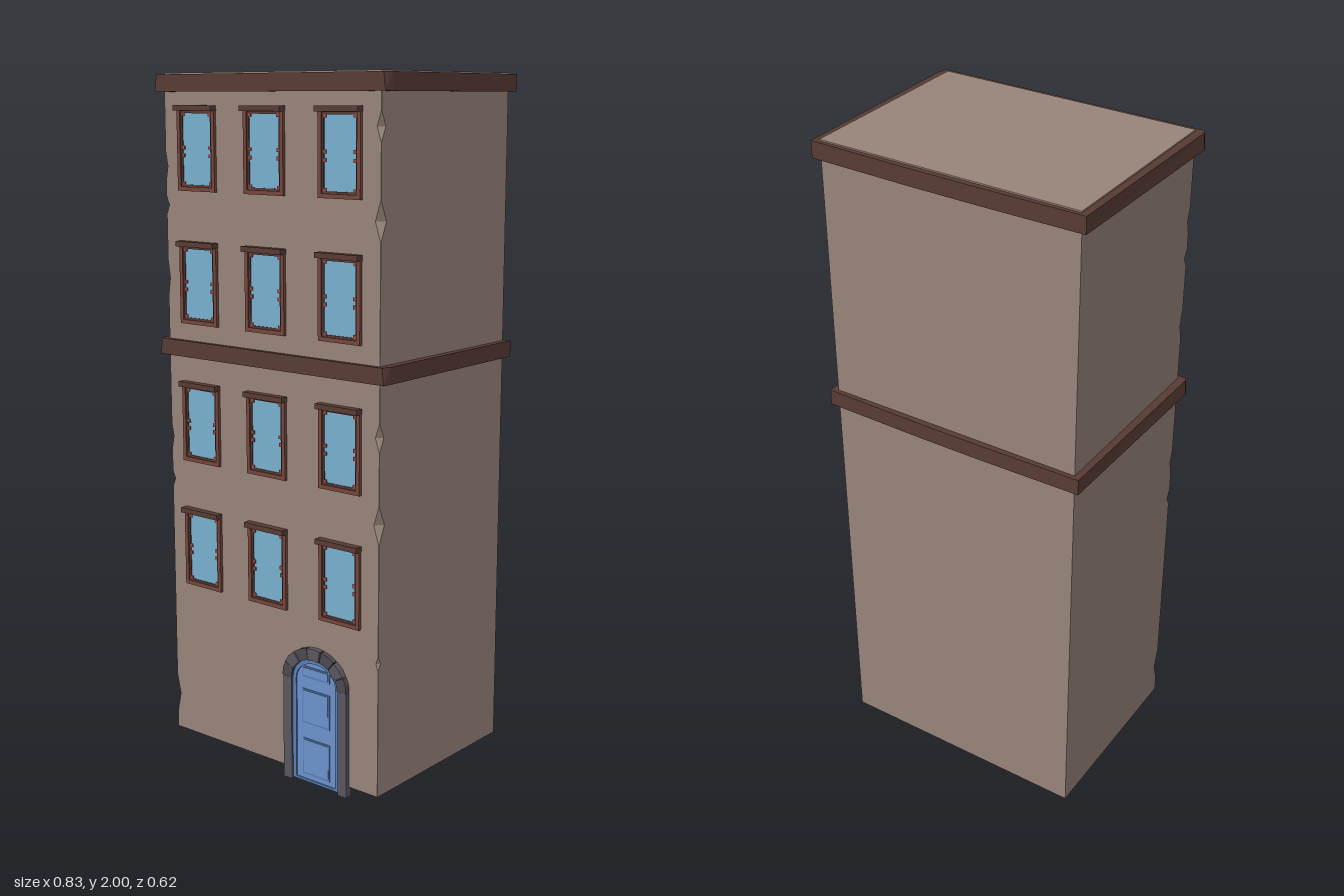
import * as THREE from 'three';

const mat = (name, color) => {
  const m = new THREE.MeshStandardMaterial({ color });
  m.name = name;
  return m;
};

export function createModel() {
  const M = {
    wall: mat('plaster', 0x98847a),
    trim: mat('dark trim', 0x583b34),
    frame: mat('window frame', 0x74463b),
    clasp: mat('clasp red', 0x96483f),
    glass: mat('glass', 0x78b0cf),
    door: mat('door blue', 0x6c93cc),
    doorDark: mat('door shade blue', 0x587eb8),
    stone: mat('stone', 0x5b5660),
    stoneDark: mat('dark stone', 0x4d4851),
  };
  const house = new THREE.Group();
  house.name = 'townhouse';

  const add = (parent, name, geo, material, x = 0, y = 0, z = 0) => {
    const mesh = new THREE.Mesh(geo, material);
    mesh.name = name;
    mesh.position.set(x, y, z);
    parent.add(mesh);
    return mesh;
  };
  // box given by its extents
  const box = (parent, name, material, x0, x1, y0, y1, z0, z1) =>
    add(parent, name, new THREE.BoxGeometry(x1 - x0, y1 - y0, z1 - z0), material,
      (x0 + x1) / 2, (y0 + y1) / 2, (z0 + z1) / 2);
  const extrude = (shape, depth) =>
    new THREE.ExtrudeGeometry(shape, { depth, bevelEnabled: false, curveSegments: 12 });

  // closed solid through horizontal rings of [x, y, z], anticlockwise from above
  const loft = (rings) => {
    const pos = [];
    const n = rings[0].length;
    const tri = (a, b, c) => pos.push(...a, ...b, ...c);
    for (let r = 0; r < rings.length - 1; r++) {
      for (let i = 0; i < n; i++) {
        const j = (i + 1) % n;
        const [lo, hi] = [rings[r], rings[r + 1]];
        tri(lo[i], lo[j], hi[j]);
        tri(lo[i], hi[j], hi[i]);
      }
    }
    const bottom = rings[0], top = rings[rings.length - 1];
    for (let i = 1; i < n - 1; i++) {
      tri(bottom[0], bottom[i + 1], bottom[i]);
      tri(top[0], top[i], top[i + 1]);
    }
    const g = new THREE.BufferGeometry();
    g.setAttribute('position', new THREE.Float32BufferAttribute(pos, 3));
    g.computeVertexNormals();
    return g;
  };

  // walls, with chips [height, half length, depth] along the front corners
  const chipsR = [[1.86, 0.04, 0.014], [1.62, 0.055, 0.018], [1.05, 0.04, 0.014],
    [0.81, 0.055, 0.018], [0.42, 0.02, 0.008]];
  const chipsL = [[1.74, 0.04, 0.008], [1.63, 0.025, 0.011], [1.42, 0.05, 0.008],
    [0.95, 0.04, 0.008], [0.82, 0.025, 0.011], [0.14, 0.06, 0.014]];
  const cut = (chips, y) =>
    chips.reduce((d, [c, h, k]) => Math.max(d, k * (1 - Math.abs(y - c) / h)), 0.0005);
  const levels = [0.03, 1.98];
  [...chipsR, ...chipsL].forEach(([c, h]) => levels.push(c - h, c, c + h));
  levels.sort((a, b) => a - b);
  const W = 0.39, F = 0.286, B = -0.293;
  add(house, 'walls', loft(levels.map((y) => {
    const l = cut(chipsL, y), r = cut(chipsR, y);
    return [[-W, y, F - l * 1.3], [-W + l, y, F], [W - r, y, F], [W, y, F - r * 1.3],
      [W, y, B], [-W, y, B]];
  })), M.wall);

  // cornices, slightly bowed and flared
  const cornice = (name, y0, y1) => {
    const ring = (y, e) => [[-0.408 - e, y, 0.299], [0.406 + e, y, 0.299], [0.414, y, 0.27],
      [0.409, y, -0.306], [0.1, y, -0.311], [-0.1, y, -0.311], [-0.409, y, -0.306],
      [-0.415 - e / 2, y, 0.285]];
    add(house, name, loft([ring(y0, 0.006), ring(y1, 0)]), M.trim);
  };
  cornice('middleCornice', 1.196, 1.243);
  cornice('roofCornice', 1.948, 1.996);
  box(house, 'roof', M.wall, -W, W, 1.99, 2, -0.295, 0.283);

  // windows
  const rectFrame = (w, h, t) => {
    const s = new THREE.Shape([[-w, -h], [w, -h], [w, h], [-w, h]].map((p) => new THREE.Vector2(...p)));
    const a = w - t, b = h - t;
    s.holes.push(new THREE.Path([[-a, -b], [-a, b], [a, b], [a, -b]].map((p) => new THREE.Vector2(...p))));
    return s;
  };
  const frameGeo = extrude(rectFrame(0.072, 0.117, 0.012), 0.014);
  const sashGeo = extrude(rectFrame(0.061, 0.106, 0.007), 0.009);
  const makeWindow = (x, y) => {
    const g = new THREE.Group();
    g.name = 'window';
    g.position.set(x, y, 0);
    add(g, 'outerFrame', frameGeo, M.frame, 0, 0, 0.281);
    add(g, 'sash', sashGeo, M.trim, 0, 0, 0.282);
    box(g, 'glass', M.glass, -0.056, 0.056, -0.101, 0.101, 0.281, 0.288);
    box(g, 'lintel', M.trim, -0.073, 0.073, 0.106, 0.121, 0.282, 0.309);
    for (const s of [-1, 1]) {
      for (const py of [-0.096, -0.018, 0.004, 0.096]) {
        const edge = s * 0.0515;
        box(g, 'clasp', M.clasp, edge - 0.005, edge + 0.005, py - 0.005, py + 0.005, 0.285, 0.291);
      }
    }
    house.add(g);
  };
  for (const y of [1.79, 1.41, 1.002, 0.622]) {
    for (const x of [-0.262, -0.008, 0.257]) makeWindow(x, y);
  }

  // doorway
  const door = new THREE.Group();
  door.name = 'doorway';
  door.position.x = 0.172;
  house.add(door);
  const spring = 0.312;
  const archPath = (P, rx, ry, y0) => {
    const p = new P();
    p.moveTo(-rx, y0);
    p.lineTo(rx, y0);
    p.lineTo(rx, spring);
    p.absellipse(0, spring, rx, ry, 0, Math.PI, false, 0);
    p.closePath();
    return p;
  };
  add(door, 'doorLeaf', extrude(archPath(THREE.Shape, 0.087, 0.072, 0.005), 0.014), M.door, 0, 0, 0.275);
  const rim = archPath(THREE.Shape, 0.087, 0.072, 0.005);
  rim.holes.push(archPath(THREE.Path, 0.072, 0.056, 0.012));
  add(door, 'doorRim', extrude(rim, 0.016), M.doorDark, 0, 0, 0.277);

  // raised door panels with a dark lower edge
  for (const [y0, y1] of [[0.03, 0.132], [0.186, 0.282], [0.325, 0.35]]) {
    box(door, 'panelEdge', M.doorDark, -0.05, 0.05, y0 - 0.004, y1 + 0.004, 0.285, 0.291);
    box(door, 'panel', M.door, -0.045, 0.045, y0 + 0.003, y1, 0.285, 0.293);
  }

  // stone jambs and arch stones
  for (const s of [-1, 1]) {
    box(door, 'jamb', M.stone, s * 0.1005 - 0.0155, s * 0.1005 + 0.0155, 0, spring, 0.276, 0.299);
  }
  const count = 7, step = Math.PI / count;
  for (let i = 0; i < count; i++) {
    const a0 = i * step + 0.015, a1 = (i + 1) * step - 0.015;
    const at = (a, rx, ry) => new THREE.Vector2(Math.cos(a) * rx, spring + Math.sin(a) * ry);
    const am = (a0 + a1) / 2;
    const stone = new THREE.Shape([at(a0, 0.117, 0.104), at(am, 0.118, 0.104), at(a1, 0.117, 0.104),
      at(a1, 0.084, 0.07), at(am, 0.084, 0.07), at(a0, 0.084, 0.07)]);
    add(door, 'archStone', extrude(stone, i % 2 ? 0.024 : 0.022), i % 2 ? M.stone : M.stoneDark, 0, 0, 0.279);
  }
  return house;
}
